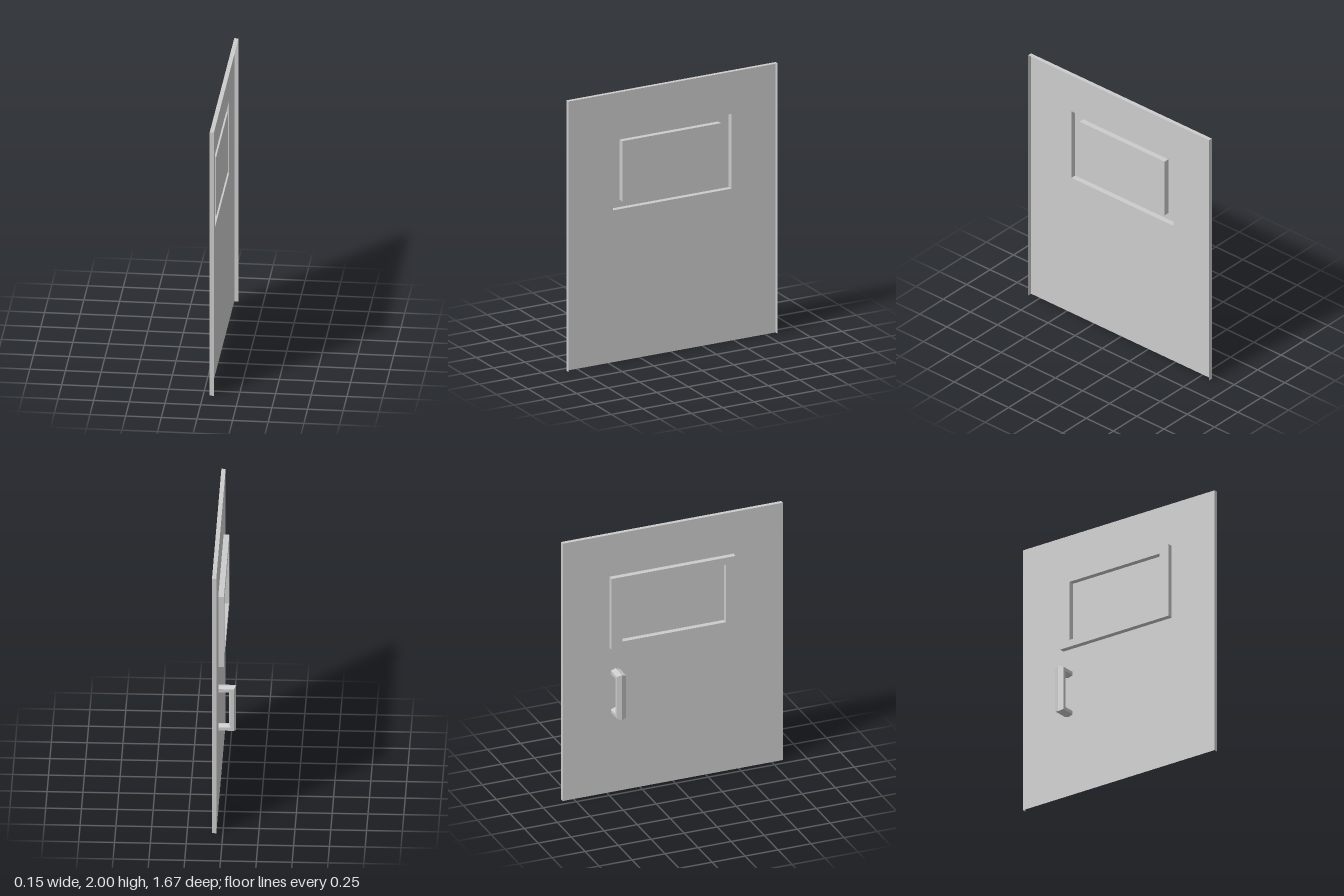
import * as THREE from 'three';

const HALF_Z = 0.833, HEIGHT = 2;
const RIM_X = 0.076, SHEET_X = 0.046, FRAME_X = 0.006;
const OUTER = [-0.48, 1.123, 0.46, 1.676];   // z0, y0, z1, y1
const INNER = [-0.398, 1.175, 0.386, 1.622];

const grey = new THREE.MeshStandardMaterial({ color: 0xcccccc, side: THREE.DoubleSide });
grey.name = 'grey metal';

// Counter-clockwise rectangle as (z, y) points
const rect = ([z0, y0, z1, y1]) => [[z0, y0], [z1, y0], [z1, y1], [z0, y1]].map(p => new THREE.Vector2(...p));

// Flat plate facing -x, with an optional opening
function plate(x, outer, hole) {
  const shape = new THREE.Shape(rect(outer));
  if (hole) shape.holes.push(new THREE.Path(rect(hole)));
  return new THREE.ShapeGeometry(shape).rotateY(-Math.PI / 2).translate(x, 0, 0);
}

// Flat-shaded geometry from a list of four-cornered faces
function quads(faces) {
  const pos = [];
  for (const [a, b, c, d] of faces) for (const p of [a, b, c, a, c, d]) pos.push(...p);
  const geo = new THREE.BufferGeometry();
  geo.setAttribute('position', new THREE.Float32BufferAttribute(pos, 3));
  geo.computeVertexNormals();
  return geo;
}

// Thin wall following (z, y) points between two x positions
function wall(points, x0, x1, closed) {
  const faces = [];
  const n = closed ? points.length : points.length - 1;
  for (let i = 0; i < n; i++) {
    const a = points[i], b = points[(i + 1) % points.length];
    faces.push([[x0, a.x, a.y], [x1, a.x, a.y], [x1, b.x, b.y], [x0, b.x, b.y]]
      .map(([x, z, y]) => [x, y, z]));
  }
  return quads(faces);
}

// Six-sided bar swept along a square bracket with mitred corners
function bracket(barX, top, bottom, z, half, halfZ) {
  const section = [[half, 0], [half / 2, halfZ], [-half / 2, halfZ],
    [-half, 0], [-half / 2, -halfZ], [half / 2, -halfZ]];
  const lines = section.map(([o, dz]) => [
    [SHEET_X, top + o, z + dz], [barX - o, top + o, z + dz],
    [barX - o, bottom - o, z + dz], [SHEET_X, bottom - o, z + dz]]);
  const faces = [];
  lines.forEach((a, j) => {
    const b = lines[(j + 1) % lines.length];
    for (let i = 0; i < 3; i++) faces.push([a[i], a[i + 1], b[i + 1], b[i]]);
  });
  return quads(faces);
}

export function createModel() {
  const model = new THREE.Group();
  model.name = 'door';
  const add = (name, geometry, parent = model) => {
    const mesh = new THREE.Mesh(geometry, grey);
    mesh.name = name;
    parent.add(mesh);
  };

  // Door sheet, folded at the sides and top, open behind and below
  add('doorSheet', plate(SHEET_X, [-HALF_Z, 0, HALF_Z, HEIGHT], OUTER));
  const rim = [[HALF_Z, 0], [HALF_Z, HEIGHT], [-HALF_Z, HEIGHT], [-HALF_Z, 0]];
  add('doorRim', wall(rim.map(p => new THREE.Vector2(...p)), SHEET_X, RIM_X, false));

  // Raised hollow window frame with a recessed pane
  const frame = new THREE.Group();
  frame.name = 'windowFrame';
  model.add(frame);
  add('frameFace', plate(FRAME_X, OUTER, INNER), frame);
  add('frameOuterWall', wall(rect(OUTER), FRAME_X, SHEET_X, true), frame);
  add('frameInnerWall', wall(rect(INNER).reverse(), FRAME_X, SHEET_X, true), frame);
  add('windowPane', plate(SHEET_X, INNER), frame);

  // Pull handle
  add('handle', bracket(-0.0515, 0.932, 0.631, -0.435, 0.0245, 0.035));
  return model;
}
